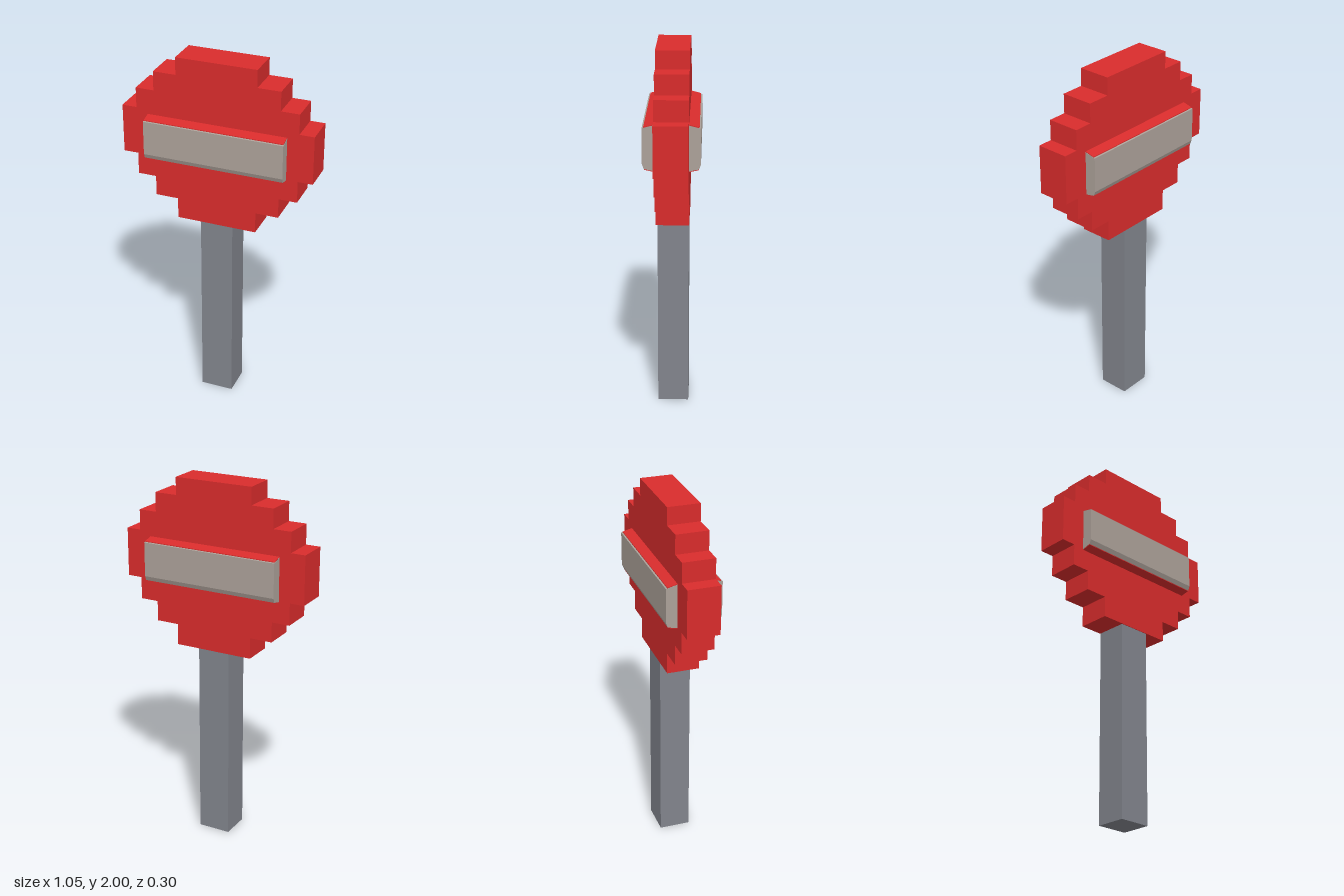
import * as THREE from 'three';

const material = (name, color) => {
  const m = new THREE.MeshStandardMaterial({ color });
  m.name = name;
  return m;
};

// Extrude a closed outline, centred on its depth axis
function slab(points, depth) {
  const shape = new THREE.Shape(points.map(([x, y]) => new THREE.Vector2(x, y)));
  const geo = new THREE.ExtrudeGeometry(shape, { depth, bevelEnabled: false });
  return geo.translate(0, 0, -depth / 2);
}

export function createModel() {
  const group = new THREE.Group();
  const red = material('sign red', 0xd92c2c);
  const steel = material('post grey', 0x81848c);
  const pale = material('bar grey', 0xaca199);

  const add = (name, geo, mat) => {
    const mesh = new THREE.Mesh(geo, mat);
    mesh.name = name;
    group.add(mesh);
    return mesh;
  };

  // Square post
  add('post', new THREE.BoxGeometry(0.18, 1.1, 0.168).translate(0, 0.55, 0), steel);

  // Stepped round sign plate: [half width, bottom, top] of each tier
  const tiers = [
    [0.22, 1.08, 1.195], [0.345, 1.195, 1.305], [0.445, 1.305, 1.425],
    [0.525, 1.425, 1.69], [0.445, 1.69, 1.8], [0.345, 1.8, 1.905], [0.22, 1.905, 2],
  ];
  const rightEdge = tiers.flatMap(([w, lo, hi]) => [[w, lo], [w, hi]]);
  const leftEdge = rightEdge.map(([x, y]) => [-x, y]).reverse();
  add('signPlate', slab([...rightEdge, ...leftEdge], 0.175), red);

  // Raised crossbar through both faces, narrowing outwards
  const half = [[0.08, 1.42], [0.138, 1.433], [0.148, 1.457], [0.148, 1.643], [0.08, 1.66]];
  const section = [...half, ...half.map(([z, y]) => [-z, y]).reverse()];
  add('crossbar', slab(section, 0.765).rotateY(Math.PI / 2), pale);

  // Red upper and lower ledges of the crossbar, front and back
  const ledges = {
    upperLedge: [[0.08, 1.655], [0.14, 1.64], [0.14, 1.649], [0.08, 1.664]],
    lowerLedge: [[0.08, 1.416], [0.137, 1.429], [0.137, 1.437], [0.08, 1.424]],
  };
  for (const [name, points] of Object.entries(ledges)) {
    for (const side of [1, -1]) {
      const outline = points.map(([z, y]) => [z * side, y]);
      add(name, slab(outline, 0.762).rotateY(-Math.PI / 2), red);
    }
  }

  return group;
}
